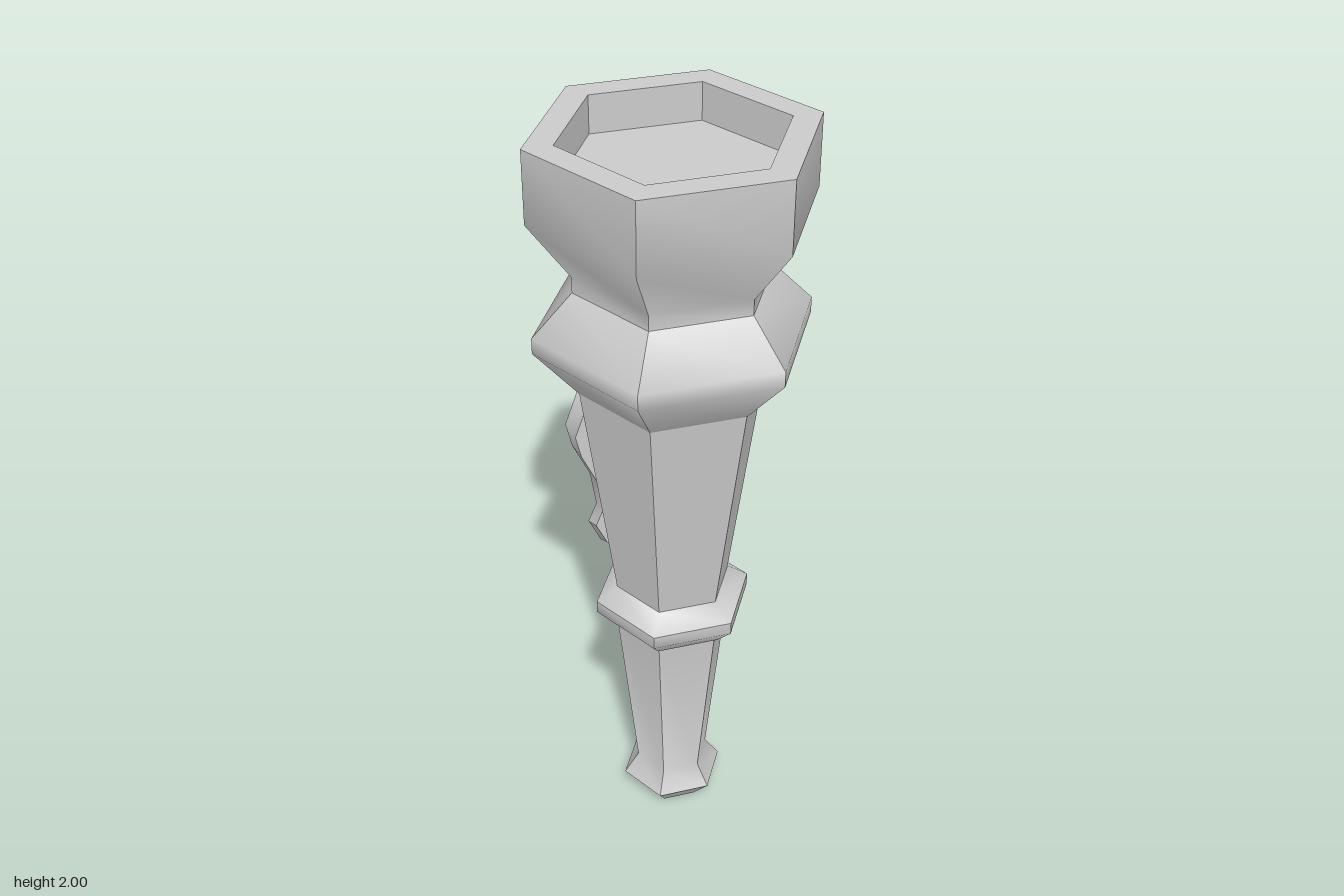
import * as THREE from 'three';
import { toCreasedNormals } from 'three/addons/utils/BufferGeometryUtils.js';

const CREASE = 0.74;
const AXIS_Z = 0.11; // the torch stands in front of its wall plate

function part(name, geometry) {
  const mat = new THREE.MeshStandardMaterial({ color: 0xcccccc });
  const mesh = new THREE.Mesh(toCreasedNormals(geometry, CREASE), mat);
  mesh.name = name;
  return mesh;
}

// Six-sided turned section from [corner radius, height] pairs, corners on the x axis
function hexTurned(name, profile) {
  const pts = profile.map(([r, y]) => new THREE.Vector2(r, y));
  const mesh = part(name, new THREE.LatheGeometry(pts, 6, Math.PI / 6));
  mesh.position.z = AXIS_Z;
  return mesh;
}

// Move every vertex of a geometry by a rule
function reshape(geometry, rule) {
  const pos = geometry.attributes.position;
  const v = new THREE.Vector3();
  for (let i = 0; i < pos.count; i++) {
    rule(v.fromBufferAttribute(pos, i));
    pos.setXYZ(i, v.x, v.y, v.z);
  }
  return geometry;
}

function wallPlate() {
  // Half outline, top to bottom, mirrored for the other side
  const half = [
    [0, 1.12], [0.07, 1.08], [0.12, 1.02], [0.157, 0.915], [0.14, 0.84],
    [0.092, 0.735], [0.075, 0.625], [0.1, 0.565], [0.065, 0.49], [0, 0.46],
  ];
  const mirrored = half.slice(1, -1).reverse().map(([x, y]) => [-x, y]);
  const shape = new THREE.Shape([...half, ...mirrored].map(([x, y]) => new THREE.Vector2(x, y)));
  const depth = 0.055;
  const geo = new THREE.ExtrudeGeometry(shape, { depth, bevelEnabled: false });
  // The front face is smaller, giving a sloped rim
  reshape(geo, (v) => {
    if (v.z > depth / 2) {
      v.x *= 0.905;
      v.y = 0.79 + (v.y - 0.79) * 0.905;
    }
    v.z -= 0.41;
  });
  return part('wallPlate', geo);
}

function bracketArm() {
  // Cross-sections from plate to shaft: z, half width, bottom, top
  const sections = [
    [-0.36, 0.074, 0.72, 0.81],
    [-0.25, 0.082, 0.728, 0.826],
    [0.04, 0.082, 0.758, 0.86],
  ];
  const geo = new THREE.BoxGeometry(2, 1, 2, 1, 1, 2);
  reshape(geo, (v) => {
    const [z, w, lo, hi] = sections[Math.round(v.z) + 1];
    v.set(v.x * w, v.y > 0 ? hi : lo, z);
  });
  return part('bracketArm', geo);
}

export function createModel() {
  const group = new THREE.Group();
  group.name = 'wallTorch';
  group.add(
    // Foot finial and tapering shaft
    hexTurned('lowerShaft', [[0, 0], [0.085, 0], [0.137, 0.065], [0.098, 0.125], [0.15, 0.63]]),
    hexTurned('collarRing', [[0.14, 0.626], [0.16, 0.626], [0.205, 0.675], [0.205, 0.71], [0.15, 0.75]]),
    hexTurned('upperShaft', [[0.15, 0.75], [0.233, 1.36]]),
    // Bulging knob below the cup
    hexTurned('knob', [[0.233, 1.36], [0.341, 1.49], [0.341, 1.53], [0.242, 1.635]]),
    // Cup with a shallow recess
    hexTurned('cup', [
      [0.242, 1.635], [0.242, 1.675], [0.343, 1.82], [0.343, 2],
      [0.271, 2], [0.271, 1.905], [0, 1.905],
    ]),
    bracketArm(),
    wallPlate(),
  );
  return group;
}
